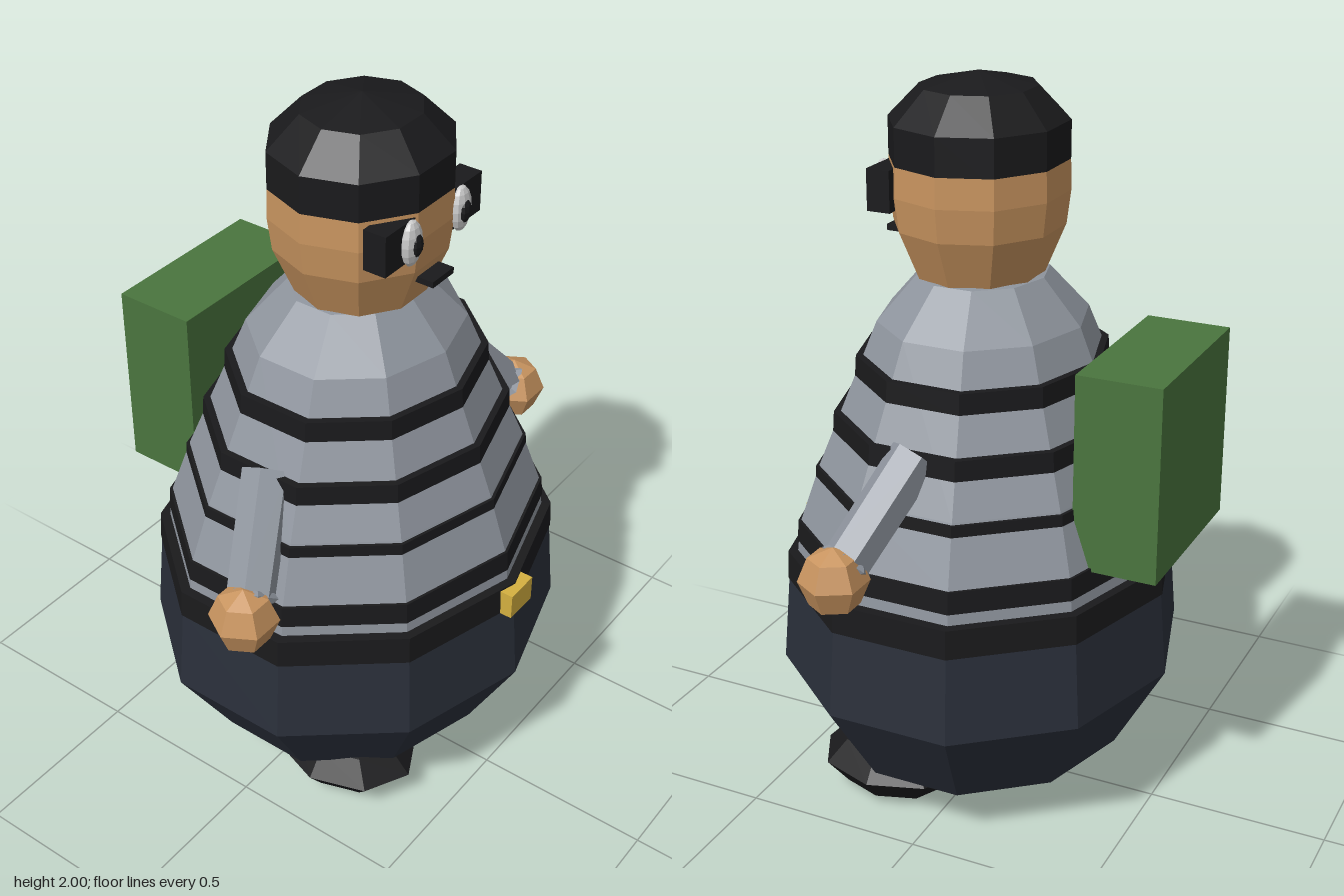
import * as THREE from 'three';

const mat = (color) => new THREE.MeshStandardMaterial({ color, flatShading: true });

export function createModel() {
  const root = new THREE.Group();
  const black = mat(0x1a1a1c), navy = mat(0x2a2f3a), wool = mat(0x8f959e);
  const skin = mat(0xc8945f), white = mat(0xe8e8e8), green = mat(0x4a753e), gold = mat(0xd4b040);

  const add = (name, geometry, material, parent = root) => {
    const mesh = new THREE.Mesh(geometry, material);
    mesh.name = name;
    parent.add(mesh);
    return mesh;
  };

  // Ten-sided turned part; profile is [radius, height], bottom to top
  const turned = (name, profile, material, scaleX, centreZ, start = 0) => {
    const points = profile.map(([r, y]) => new THREE.Vector2(r, y));
    const mesh = add(name, new THREE.LatheGeometry(points, 10, start), material);
    mesh.scale.x = scaleX;
    mesh.position.z = centreZ;
    return mesh;
  };
  const bodyPart = (name, profile, material) => turned(name, profile, material, 1.12, 0.024);
  const headPart = (name, profile, material) => turned(name, profile, material, 1.06, 0.037, Math.PI / 2);

  // Box given by its lower and upper corners
  const box = (name, [x0, y0, z0], [x1, y1, z1], material) => {
    const mesh = add(name, new THREE.BoxGeometry(x1 - x0, y1 - y0, z1 - z0), material);
    mesh.position.set((x0 + x1) / 2, (y0 + y1) / 2, (z0 + z1) / 2);
  };

  const ball = (name, [x, y, z], [rx, ry, rz], sides, rings, material, parent) => {
    const mesh = add(name, new THREE.SphereGeometry(1, sides, rings), material, parent);
    mesh.scale.set(rx, ry, rz);
    mesh.position.set(x, y, z);
    return mesh;
  };

  // Trousers and sweater
  bodyPart('trousers', [[0, 0.145], [0.405, 0.145], [0.547, 0.4], [0.526, 0.65], [0.51, 0.69], [0, 0.69]], navy);
  bodyPart('sweater', [[0.505, 0.68], [0.492, 0.8], [0.434, 0.97], [0.277, 1.36], [0.172, 1.48], [0, 1.5]], wool);

  // Belt and sweater stripes are rings around the body
  const band = (name, r, y0, y1) =>
    bodyPart(name, [[r - 0.06, y0], [r, y0], [r - 0.004, y1], [r - 0.06, y1]], black);
  band('belt', 0.53, 0.64, 0.72);
  [[0.5, 0.78], [0.448, 0.935], [0.397, 1.087], [0.336, 1.24]].forEach(([r, y], i) =>
    band(`stripe${i + 1}`, r, y - 0.03, y + 0.03));
  box('beltBuckle', [-0.05, 0.64, 0.5], [0.05, 0.715, 0.573], gold);

  // Head, cap, mask and mouth
  headPart('head', [[0, 1.46], [0.172, 1.48], [0.225, 1.61], [0.236, 1.7], [0.234, 1.78]], skin);
  headPart('cap', [[0.2, 1.76], [0.234, 1.76], [0.234, 1.88], [0.152, 1.965], [0, 2]], black);
  box('mask', [-0.203, 1.66, 0.19], [0.203, 1.77, 0.255], black);
  box('mouth', [-0.045, 1.565, 0.22], [0.045, 1.582, 0.286], black);

  // Backpack
  box('backpack', [-0.25, 0.8, -0.575], [0.25, 1.33, -0.345], green);

  // Paired parts; side +1 is the model's left
  for (const side of [1, -1]) {
    const label = side > 0 ? 'left' : 'right';

    ball(`${label}Eye`, [side * 0.105, 1.712, 0.26], [0.037, 0.062, 0.022], 10, 8, white);
    ball(`${label}Pupil`, [side * 0.103, 1.71, 0.274], [0.022, 0.032, 0.014], 8, 6, black);

    // Sleeve runs from the shoulder down to the wrist
    const arm = new THREE.Group();
    arm.name = `${label}Arm`;
    root.add(arm);
    const shoulder = new THREE.Vector3(side * 0.39, 1.1, 0.03);
    const wrist = new THREE.Vector3(side * 0.585, 0.868, 0.125);
    const along = wrist.clone().sub(shoulder);
    const turn = new THREE.Quaternion().setFromUnitVectors(
      new THREE.Vector3(0, 1, 0), along.clone().normalize());
    const sleeve = add('sleeve', new THREE.CylinderGeometry(0.064, 0.067, along.length(), 6), wool, arm);
    sleeve.position.copy(shoulder).addScaledVector(along, 0.5);
    sleeve.quaternion.copy(turn);
    const cuff = add('cuff', new THREE.TorusGeometry(0.06, 0.013, 4, 6).rotateX(Math.PI / 2), wool, arm);
    cuff.position.copy(wrist);
    cuff.quaternion.copy(turn);
    ball('hand', [side * 0.628, 0.833, 0.137], [0.092, 0.092, 0.092], 6, 4, skin, arm);

    ball(`${label}Shoe`, [side * 0.255, 0.095, 0.18], [0.175, 0.095, 0.217], 8, 4, black);
  }
  return root;
}
